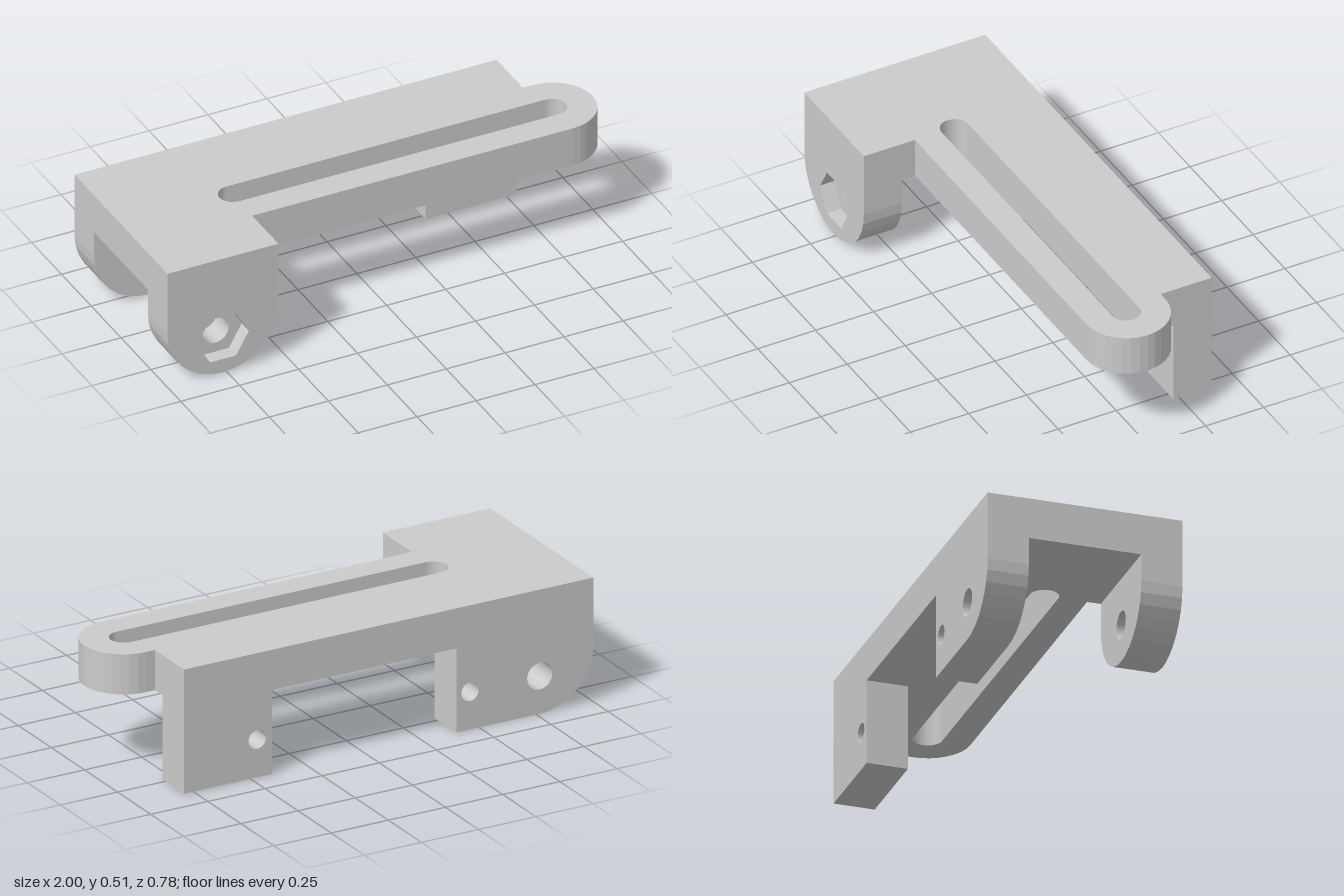
import * as THREE from 'three';

const material = new THREE.MeshStandardMaterial({ color: 0xcccccc, flatShading: true });
const STEP = Math.PI / 16;

// Points along an arc, counter-clockwise from a0 to a1
function arc(cx, cy, r, a0, a1, step = STEP) {
  const n = Math.round((a1 - a0) / step);
  return Array.from({ length: n + 1 }, (_, i) => {
    const a = a0 + ((a1 - a0) * i) / n;
    return new THREE.Vector2(cx + r * Math.cos(a), cy + r * Math.sin(a));
  });
}

const points = (...pairs) => pairs.map(([x, y]) => new THREE.Vector2(x, y));
const circle = (x, y, r, step) => arc(x, y, r, 0, 2 * Math.PI, step).slice(0, -1);

function slab(name, outline, holes, depth) {
  const shape = new THREE.Shape(outline);
  shape.holes = holes.map((h) => new THREE.Path(h));
  const geometry = new THREE.ExtrudeGeometry(shape, { depth, bevelEnabled: false });
  const mesh = new THREE.Mesh(geometry, material);
  mesh.name = name;
  return mesh;
}

export function createModel() {
  const model = new THREE.Group();
  model.name = 'slottedBracket';

  const PI = Math.PI;
  const top = 0.51, under = 0.345;       // plate top and underside
  const back = -0.39, inner = 0.225, front = 0.39;
  const px = -0.765, pr = 0.235;         // rounded pivot end
  const holeY = 0.155;
  const pivotHole = circle(px, holeY, 0.055);

  // Back wall with two feet, a rounded corner and three holes
  const wall = slab('backWall', [
    ...arc(px, pr, pr, PI, 1.5 * PI),
    ...points([-0.4, 0], [-0.4, under], [0.405, under], [0.405, 0], [0.79, 0], [0.79, top], [-1, top]),
  ], [pivotHole, circle(-0.46, holeY, 0.038), circle(0.47, holeY, 0.038)], -inner - back);
  wall.position.z = back;
  model.add(wall);

  // Slotted top plate with a round nose
  const slot = [
    ...arc(0.828, 0, 0.057, -PI / 2, PI / 2),
    ...arc(-0.526, 0, 0.057, PI / 2, 1.5 * PI),
  ];
  const plate = slab('slottedPlate', [
    ...points([-1, -inner], [-0.53, -inner], [-0.53, -0.17]),
    ...arc(0.83, 0, 0.17, -PI / 2, PI / 2),
    ...points([0.79, 0.17], [0.79, inner], [-1, inner]),
  ], [slot], top - under);
  plate.rotation.x = -PI / 2;
  plate.position.y = under;
  model.add(plate);

  // Front lug: a round bore behind a hexagonal nut pocket
  const pocket = 0.06;
  const lugOutline = [...arc(px, pr, pr, PI, 2 * PI), ...points([-0.53, top], [-1, top])];
  const lug = new THREE.Group();
  lug.name = 'frontLug';
  const boreLayer = slab('lugBore', lugOutline, [pivotHole], front - inner - pocket);
  boreLayer.position.z = inner;
  const nutLayer = slab('lugNutPocket', lugOutline, [circle(px, holeY, 0.11, PI / 3)], pocket);
  nutLayer.position.z = front - pocket;
  lug.add(boreLayer, nutLayer);
  model.add(lug);

  return model;
}
